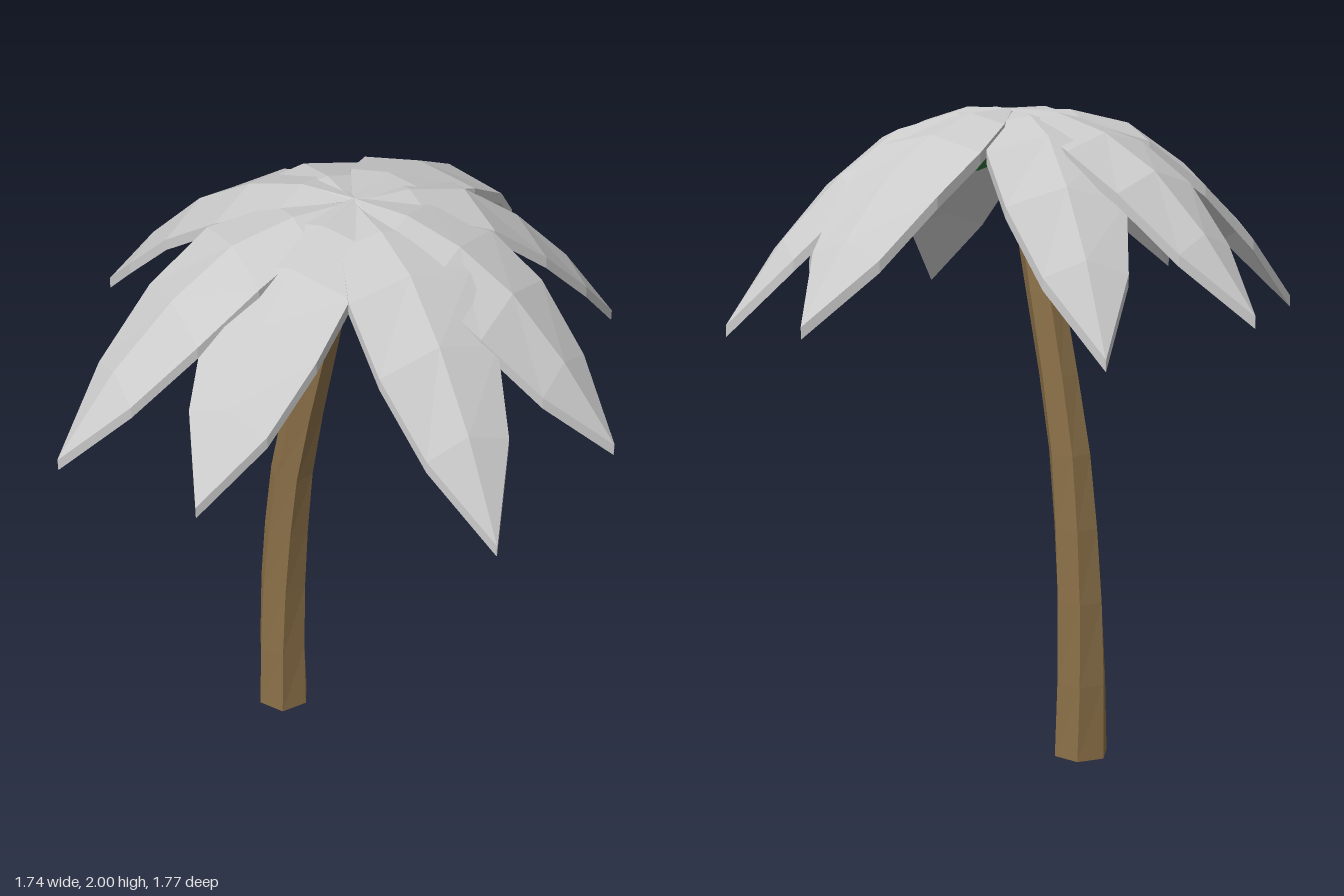
import * as THREE from 'three';

// Skin a list of closed rings (counter-clockwise around the sweep direction), faceted, capped.
function loft(rings) {
  const pos = [];
  const n = rings[0].length;
  const tri = (...pts) => pts.forEach((p) => pos.push(p.x, p.y, p.z));
  for (let i = 0; i < rings.length - 1; i++) {
    for (let k = 0; k < n; k++) {
      const a = rings[i][k], b = rings[i][(k + 1) % n];
      const c = rings[i + 1][(k + 1) % n], d = rings[i + 1][k];
      tri(a, b, c);
      tri(a, c, d);
    }
  }
  const first = rings[0], last = rings[rings.length - 1];
  for (let k = 1; k < n - 1; k++) {
    tri(first[0], first[k + 1], first[k]);
    tri(last[0], last[k], last[k + 1]);
  }
  const geo = new THREE.BufferGeometry();
  geo.setAttribute('position', new THREE.Float32BufferAttribute(pos, 3));
  geo.computeVertexNormals();
  return geo;
}

// Ridged leaf from the crown to its tip: five even steps, folded down along the middle.
function frondGeometry(startX, startZ, tipX, tipZ, heights) {
  const halfWidths = [0.008, 0.125, 0.187, 0.182, 0.127, 0.001];
  const drops = [0.003, 0.025, 0.04, 0.05, 0.045, 0];
  const thickness = 0.035;
  const dir = new THREE.Vector2(tipX - startX, tipZ - startZ).normalize();
  const rings = heights.map((y, i) => {
    const t = i / (heights.length - 1);
    const x = THREE.MathUtils.lerp(startX, tipX, t);
    const z = THREE.MathUtils.lerp(startZ, tipZ, t);
    const at = (side, down) => new THREE.Vector3(
      x + dir.y * side * halfWidths[i],
      y - Math.abs(side) * drops[i] - down,
      z - dir.x * side * halfWidths[i]
    );
    return [at(1, 0), at(0, 0), at(-1, 0), at(-1, thickness), at(0, thickness), at(1, thickness)];
  });
  return loft(rings);
}

export function createModel() {
  const group = new THREE.Group();
  group.name = 'palmTree';
  const material = (color) => new THREE.MeshStandardMaterial({ color, flatShading: true });
  const bark = material(0x8b7048);
  const leaf = material(0xcccccc);
  leaf.side = THREE.DoubleSide;
  const green = material(0x2f6b36);

  const add = (name, geometry, mat) => {
    const mesh = new THREE.Mesh(geometry, mat);
    mesh.name = name;
    group.add(mesh);
    return mesh;
  };

  // Trunk: six-sided, leaning, tapering and slightly twisted; [y, x, radius]
  const trunkPath = [
    [0, -0.258, 0.088], [0.24, -0.258, 0.083], [0.5, -0.249, 0.078], [0.73, -0.232, 0.073],
    [0.96, -0.207, 0.068], [1.2, -0.162, 0.063], [1.45, -0.108, 0.06], [1.7, -0.052, 0.055],
    [1.985, 0.02, 0.047],
  ];
  const trunkRings = trunkPath.map(([y, x, r]) => Array.from({ length: 6 }, (_, k) => {
    const a = k * Math.PI / 3 + (y / 2) * Math.PI / 6;
    return new THREE.Vector3(x + r * Math.cos(a), y, 0.045 - r * Math.sin(a));
  }));
  add('trunk', loft(trunkRings), bark);

  // Four straight fronds on the axes
  const straight = [1.995, 1.99, 1.94, 1.84, 1.67, 1.45];
  [[0.87, 0.04], [0.02, 0.885], [-0.87, 0.04], [0.02, -0.89]].forEach(([x, z], i) =>
    add(`straightFrond${i + 1}`, frondGeometry(0.02, 0.04, x, z, straight), leaf));

  // Four fronds between them, drooping a little lower
  const drooping = [1.99, 1.985, 1.94, 1.81, 1.625, 1.375];
  [[0.76, 0.53], [-0.5, 0.82], [-0.69, -0.43], [0.51, -0.7]].forEach(([x, z], i) =>
    add(`droopingFrond${i + 1}`, frondGeometry(0.02, 0.05, x, z, drooping), leaf));

  // Coconuts under the crown
  [[-0.07, 1.86, -0.11], [0.09, 1.85, -0.03], [-0.11, 1.86, 0.06]].forEach(([x, y, z], i) => {
    const nut = add(`coconut${i + 1}`, new THREE.IcosahedronGeometry(0.05, 0), green);
    nut.position.set(x, y, z);
    nut.rotation.y = i * 2.1;
  });

  return group;
}
